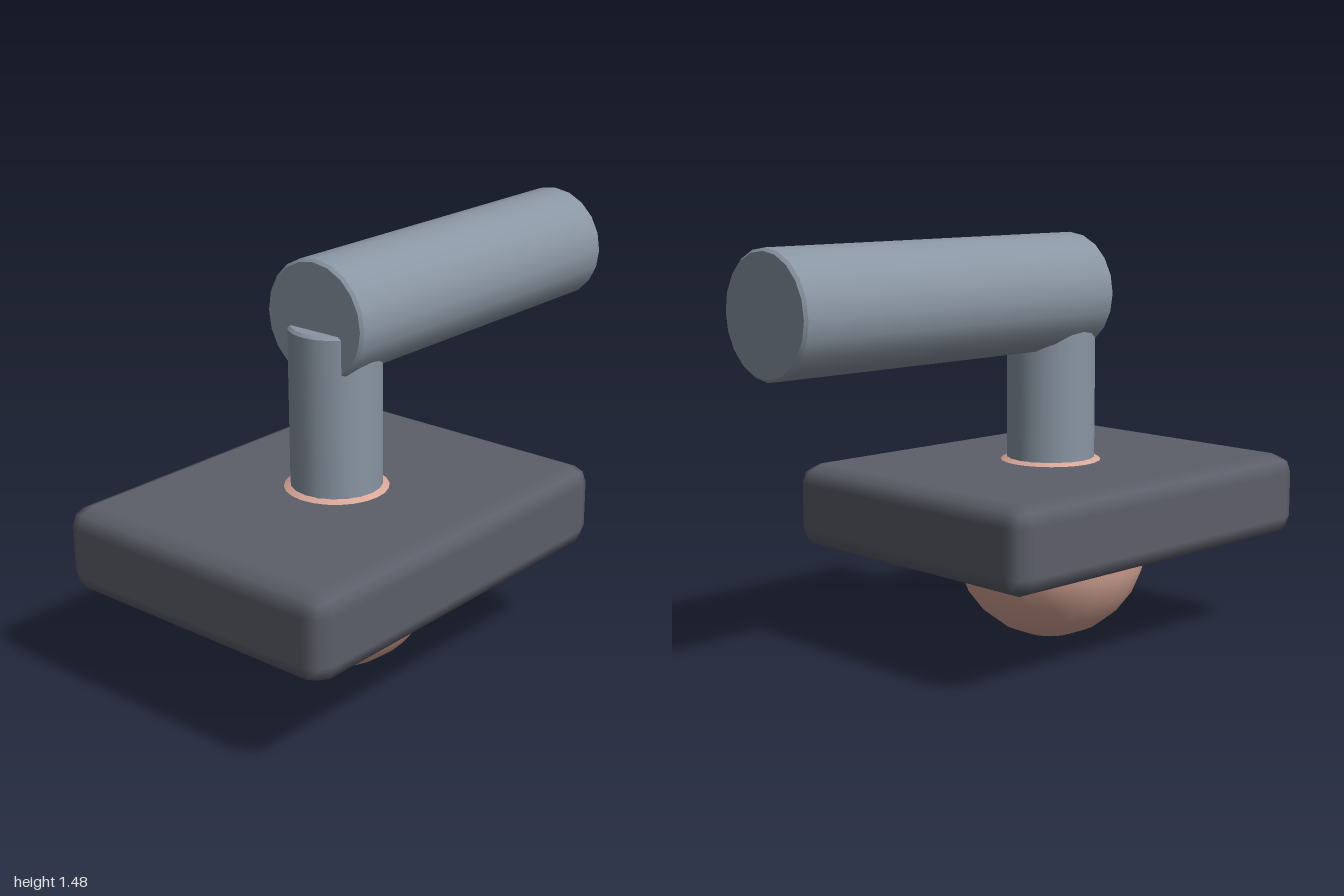
import * as THREE from 'three';
import { mergeGeometries } from 'three/addons/utils/BufferGeometryUtils.js';
import { RoundedBoxGeometry } from 'three/addons/geometries/RoundedBoxGeometry.js';

const SIDES = 20;
const BEVEL = 0.01;
const CENTRE_X = -0.275;

// Upright cylinder with a narrow chamfer at both ends
function chamferedCylinder(radius, length) {
  const body = new THREE.CylinderGeometry(radius, radius, length - 2 * BEVEL, SIDES, 1, true);
  const top = new THREE.CylinderGeometry(radius - BEVEL, radius, BEVEL, SIDES);
  const bottom = top.clone().rotateX(Math.PI);
  top.translate(0, (length - BEVEL) / 2, 0);
  bottom.translate(0, -(length - BEVEL) / 2, 0);
  return mergeGeometries([body, top, bottom]);
}

export function createModel() {
  const group = new THREE.Group();

  const steel = new THREE.MeshStandardMaterial({ color: 0x8a96a3 });
  steel.name = 'blue grey';
  const dark = new THREE.MeshStandardMaterial({ color: 0x5c5e69 });
  dark.name = 'dark grey';
  const pink = new THREE.MeshStandardMaterial({ color: 0xd9a798 });
  pink.name = 'dusty pink';

  function add(name, geometry, material, x, y) {
    const mesh = new THREE.Mesh(geometry, material);
    mesh.name = name;
    mesh.position.set(x, y, 0);
    group.add(mesh);
    return mesh;
  }

  // Ball running through the slab, showing below and as a ring above
  add('ball', new THREE.SphereGeometry(0.355, 24, 12), pink, CENTRE_X, 0.355);

  // Slab with softened edges
  add('slab', new RoundedBoxGeometry(1.464, 0.304, 1.144, 1, 0.07), dark, CENTRE_X, 0.507);

  // Post rising from the ball
  add('post', chamferedCylinder(0.16, 0.775), steel, CENTRE_X, 0.8475);

  // Horizontal arm reaching out to the left
  const arm = add('arm', chamferedCylinder(0.21, 1.38), steel, 0.31, 1.267);
  arm.rotation.z = -Math.PI / 2;

  return group;
}
